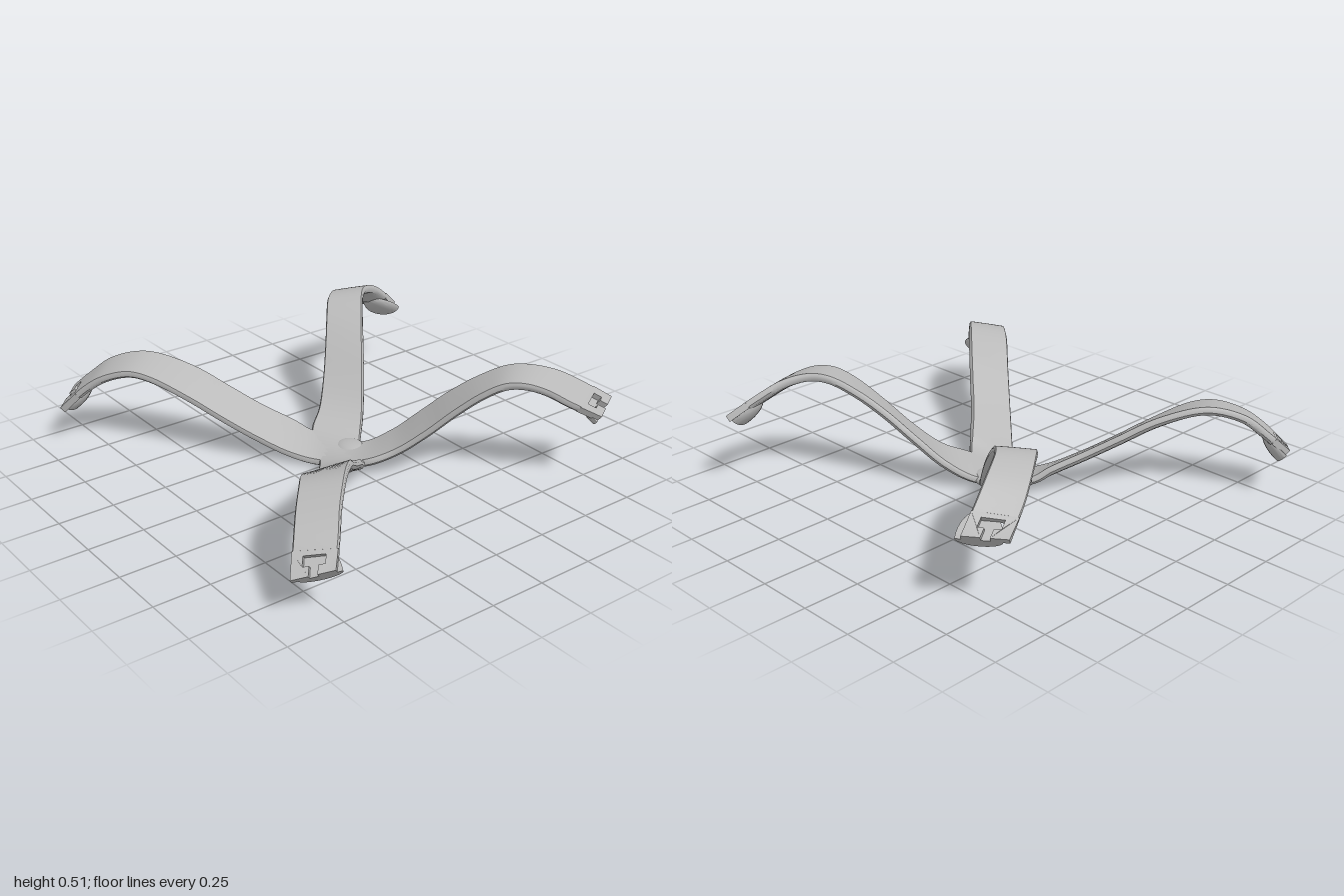
import * as THREE from 'three';
import { toCreasedNormals } from 'three/addons/utils/BufferGeometryUtils.js';

const THICK = 0.04;
const TIP = 0.965; // curve position where a slotted tip begins

// Top edges of the arms for the +x side: hub notch first, tip last
const FRONT_INNER = [[0, 0.035, 0.12], [0.1, 0.058, 0.205], [0.21, 0.122, 0.305], [0.32, 0.2, 0.405], [0.43, 0.285, 0.505],
  [0.56, 0.37, 0.625], [0.64, 0.385, 0.69], [0.73, 0.35, 0.77], [0.8, 0.29, 0.83], [0.885, 0.18, 0.905]];
const FRONT_OUTER = [[0.19, 0.085, 0.02], [0.24, 0.13, 0.075], [0.34, 0.2, 0.18], [0.45, 0.28, 0.28], [0.56, 0.36, 0.38],
  [0.69, 0.415, 0.5], [0.76, 0.415, 0.565], [0.85, 0.375, 0.65], [0.92, 0.305, 0.71], [0.985, 0.225, 0.775]];
const BACK_INNER = [[0, 0.06, -0.11], [0.1, 0.13, -0.2], [0.2, 0.24, -0.28], [0.3, 0.35, -0.355], [0.4, 0.44, -0.43], [0.5, 0.505, -0.51]];
const BACK_OUTER = [[0.19, 0.085, 0.02], [0.27, 0.135, -0.08], [0.36, 0.23, -0.17], [0.45, 0.34, -0.25], [0.54, 0.435, -0.325], [0.61, 0.485, -0.385]];
const LEFT_INNER = [...BACK_INNER, [0.57, 0.515, -0.57], [0.64, 0.49, -0.66], [0.7, 0.43, -0.76], [0.765, 0.35, -0.87]];
const LEFT_OUTER = [...BACK_OUTER, [0.67, 0.492, -0.44], [0.73, 0.465, -0.51], [0.79, 0.41, -0.59], [0.85, 0.33, -0.72]];
const RIGHT_INNER = [...BACK_INNER, [0.56, 0.515, -0.57], [0.615, 0.49, -0.66], [0.66, 0.43, -0.76], [0.69, 0.33, -0.87]];
const RIGHT_OUTER = [...BACK_OUTER, [0.665, 0.49, -0.45], [0.725, 0.46, -0.535], [0.785, 0.4, -0.64], [0.835, 0.33, -0.765]];

// Strap cross-section: u across the width, v down from the top, counter-clockwise
const SECTION = [[0.03, 0], [0, 0.25], [0, 0.6], [0.06, 0.9], [0.2, 1], [0.5, 1.08], [0.8, 1], [0.94, 0.9], [1, 0.6], [1, 0.25], [0.97, 0], [0.5, -0.02]];

// Ruled strip between two edge curves, with a frame at any point
function makeRail(ptsA, ptsB) {
  let a = new THREE.CatmullRomCurve3(ptsA), b = new THREE.CatmullRomCurve3(ptsB);
  const frame = (t) => {
    const A = a.getPoint(t), B = b.getPoint(t);
    const tan = a.getTangent(t).add(b.getTangent(t)).normalize();
    return { A, B, n: tan.cross(B.clone().sub(A)).normalize() };
  };
  if (frame(0.5).n.y < 0) [a, b] = [b, a];
  return frame;
}

// Thick strap swept along a rail, stopping short of both tips
function strapGeometry(rail, steps) {
  const pos = [], idx = [], m = SECTION.length;
  for (let i = 0; i <= steps; i++) {
    const { A, B, n } = rail(1 - TIP + (2 * TIP - 1) * i / steps);
    for (const [u, v] of SECTION) {
      const p = A.clone().lerp(B, u).addScaledVector(n, -v * THICK);
      pos.push(p.x, p.y, p.z);
    }
  }
  for (let i = 0; i < steps; i++) for (let j = 0; j < m; j++) {
    const p = i * m + j, q = i * m + (j + 1) % m;
    idx.push(p, q, p + m, q, q + m, p + m);
  }
  for (let j = 1; j < m - 1; j++) {
    idx.push(0, j + 1, j);
    idx.push(steps * m, steps * m + j, steps * m + j + 1);
  }
  const g = new THREE.BufferGeometry();
  g.setAttribute('position', new THREE.Float32BufferAttribute(pos, 3));
  g.setIndex(idx);
  return toCreasedNormals(g, 0.7);
}

function mapVertices(g, rule) {
  const p = g.attributes.position, v = new THREE.Vector3();
  for (let i = 0; i < p.count; i++) {
    const r = rule(v.fromBufferAttribute(p, i));
    p.setXYZ(i, r.x, r.y, r.z);
  }
  return toCreasedNormals(g, 0.7);
}

// Strap end plate with a T-shaped slot open at the tip
function slotPlateGeometry(rail) {
  const shape = new THREE.Shape([[0, 0], [1, 0], [1, 1], [0.6, 1], [0.6, 0.6], [0.75, 0.6], [0.75, 0.2],
    [0.25, 0.2], [0.25, 0.6], [0.4, 0.6], [0.4, 1], [0, 1]].map(([x, y]) => new THREE.Vector2(x, y)));
  const g = new THREE.ExtrudeGeometry(shape, { depth: 1, bevelEnabled: false });
  return mapVertices(g, (v) => {
    const f = rail(TIP + (1 - TIP) * v.y);
    return f.A.clone().lerp(f.B, v.x).addScaledVector(f.n, -v.z * 0.03);
  });
}

// Rounded pod under the tip, cut flat on top and at the end
function podGeometry(rail, shift) {
  const f = rail(1), w = f.B.clone().sub(f.A), width = w.length();
  w.normalize();
  const along = f.n.clone().cross(w).negate();
  const c = f.A.clone().lerp(f.B, 0.5).addScaledVector(f.n, -0.024).addScaledVector(w, shift);
  return mapVertices(new THREE.SphereGeometry(1, 32, 24), (v) => c.clone()
    .addScaledVector(w, v.x * width * 0.5)
    .addScaledVector(f.n, Math.min(v.y, 0) * 0.05)
    .addScaledVector(along, Math.min(v.z, 0) * 0.125));
}

export function createModel() {
  const grey = new THREE.MeshStandardMaterial({ color: 0xb8b8b8 });
  grey.name = 'grey';
  const model = new THREE.Group();
  model.name = 'crossStrap';
  const add = (parent, name, geometry) => {
    const mesh = new THREE.Mesh(geometry, grey);
    mesh.name = name;
    parent.add(mesh);
    return mesh;
  };

  // Slotted tip with its pod leaning towards the outer edge (negative: inner)
  const addTip = (parent, name, rail, side, lean) => {
    const tip = new THREE.Group();
    tip.name = name;
    const f = rail(1);
    const outerIsB = f.B.x * side > f.A.x * side;
    add(tip, 'slotPlate', slotPlateGeometry(rail));
    add(tip, 'pod', podGeometry(rail, outerIsB ? lean : -lean));
    parent.add(tip);
  };

  // Two diagonal straps, each running from a front tip through the hub to a back tip
  const straps = [
    ['FrontLeftToBackRight', 1, RIGHT_INNER, RIGHT_OUTER, -0.025],
    ['FrontRightToBackLeft', -1, LEFT_INNER, LEFT_OUTER, 0.018],
  ];
  for (const [name, side, backInner, backOuter, backLean] of straps) {
    const strap = new THREE.Group();
    strap.name = 'diagonal' + name;
    const place = (pts, s) => pts.map(([x, y, z]) => new THREE.Vector3(x * s, y, z));
    const edgeA = [...place(FRONT_INNER, side).reverse(), ...place(backOuter, -side)];
    const edgeB = [...place(FRONT_OUTER, side).reverse(), ...place(backInner, -side)];
    const toBack = makeRail(edgeA, edgeB);
    const toFront = makeRail([...edgeA].reverse(), [...edgeB].reverse());
    add(strap, 'strap', strapGeometry(toBack, 120));
    addTip(strap, 'frontTip', toFront, side, 0.022);
    addTip(strap, 'backTip', toBack, -side, backLean);
    model.add(strap);
  }

  // Low boss in the middle of the hub
  const boss = add(model, 'hubBoss', new THREE.SphereGeometry(1, 32, 16));
  boss.scale.set(0.08, 0.03, 0.065);
  boss.position.set(0, 0.044, -0.055);
  return model;
}
